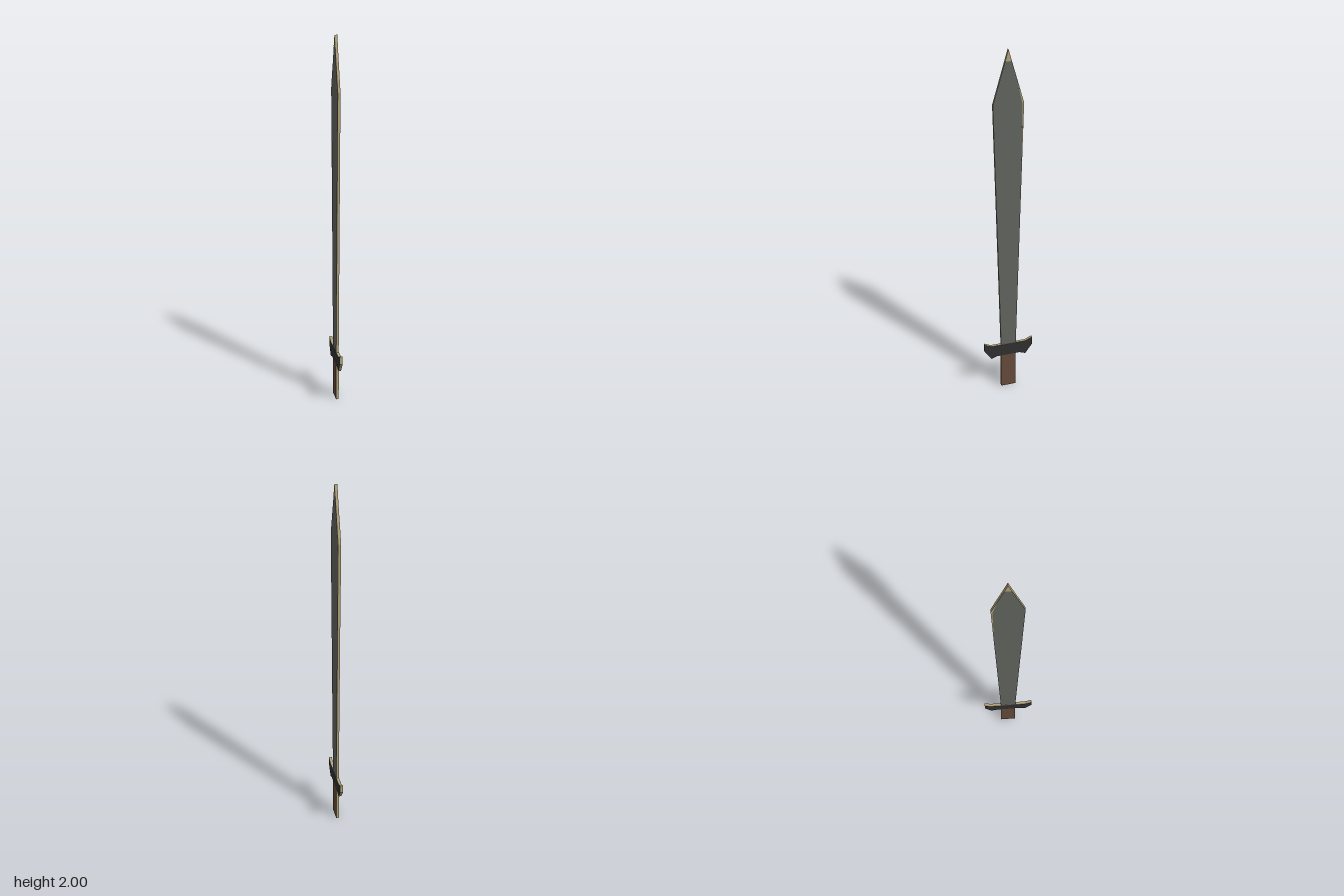
import * as THREE from 'three';

const paint = (name, color) => {
  const m = new THREE.MeshStandardMaterial({ color });
  m.name = name;
  return m;
};

export function createModel() {
  const steel = paint('grey steel', 0x61635f);
  const iron = paint('dark iron', 0x303030);
  const leather = paint('brown grip', 0x634a3a);
  const wood = paint('tan edge', 0xb0a078);

  const sword = new THREE.Group();
  sword.name = 'sword';

  // Flat slab cut from a [z, y] outline, with its own colour on the faces and tan around the edge
  function slab(name, outline, thickness, face) {
    const shape = new THREE.Shape(outline.map(([z, y]) => new THREE.Vector2(z, y)));
    const geo = new THREE.ExtrudeGeometry(shape, { depth: thickness, bevelEnabled: false });
    geo.translate(0, 0, -thickness / 2);
    geo.rotateY(-Math.PI / 2);
    const mesh = new THREE.Mesh(geo, [face, wood]);
    mesh.name = name;
    sword.add(mesh);
  }
  // Completes a half outline by mirroring it across z = 0
  const mirror = (half) => [...half, ...half.map(([z, y]) => [-z, y]).reverse()];

  slab('grip', mirror([[0.043, 0], [0.043, 0.215]]), 0.015, leather);
  slab('crossguard', mirror([
    [0.065, 0.213], [0.1, 0.2], [0.14, 0.257], [0.14, 0.303], [0.1, 0.285],
  ]), 0.016, iron);
  slab('blade', [
    [-0.043, 0.28], [0.043, 0.28], [0.081, 1.72], [0, 2], [-0.081, 1.72],
  ], 0.014, steel);

  // Bare patches at the point and along the back edge of the blade
  slab('bladeTip', [[-0.0174, 1.94], [0.0174, 1.94], [0, 2]], 0.015, wood);
  slab('bareEdge', [
    [-0.0434, 1.85], [-0.081, 1.72], [-0.0699, 1.3], [-0.073, 1.71],
  ], 0.015, wood);

  return sword;
}
